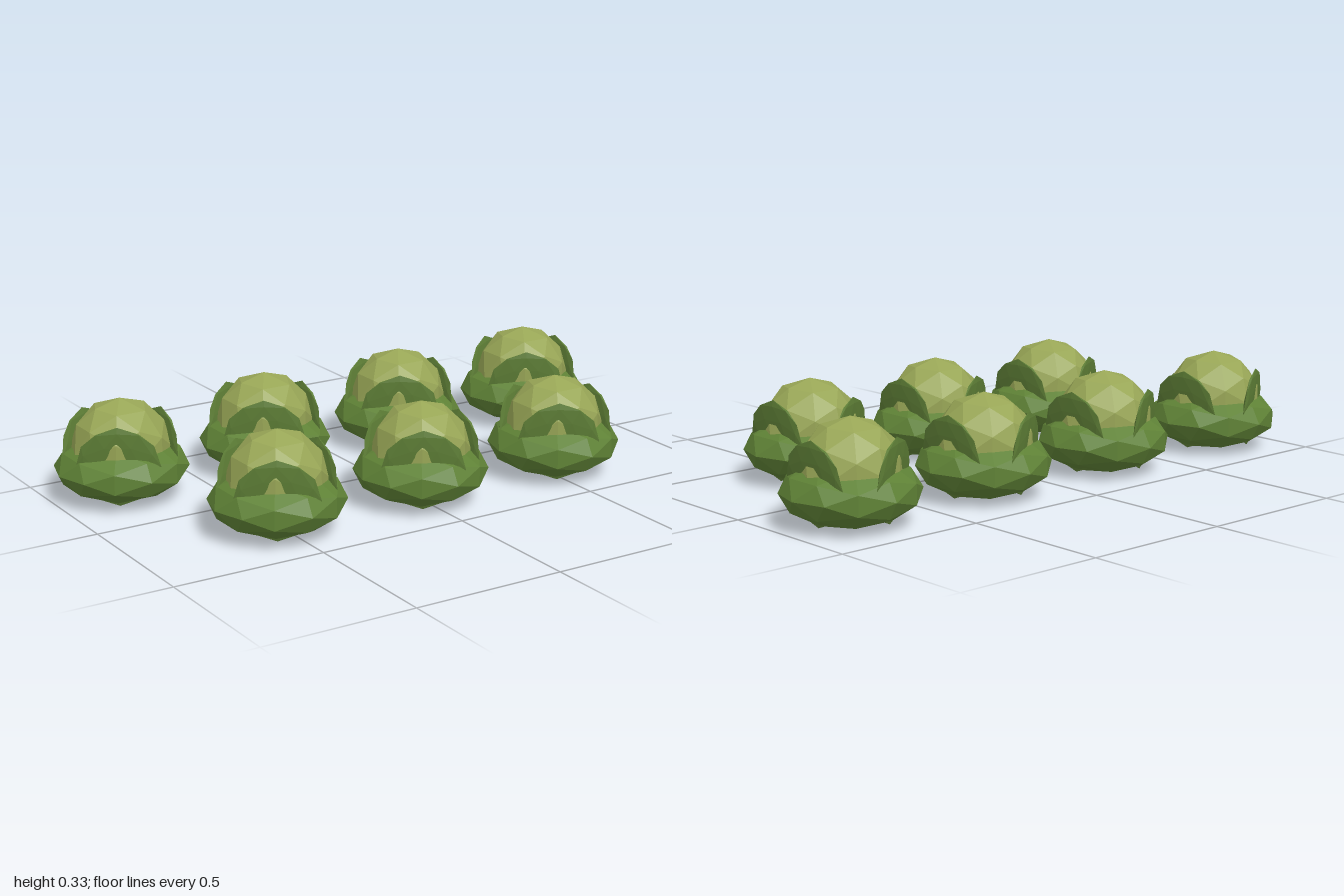
import * as THREE from 'three';

const flat = (name, color) => {
  const m = new THREE.MeshStandardMaterial({ color, flatShading: true });
  m.name = name;
  return m;
};

export function createModel() {
  const headGreen = flat('pale head green', 0x98a656);
  const baseGreen = flat('outer leaf green', 0x5f8236);
  const leafGreen = flat('wrapper leaf green', 0x5c7c35);
  const ball = new THREE.IcosahedronGeometry(1, 1);

  const blob = (name, material, scale, position) => {
    const mesh = new THREE.Mesh(ball, material);
    mesh.name = name;
    mesh.scale.set(...scale);
    mesh.position.set(...position);
    return mesh;
  };

  const makeCabbage = () => {
    const cabbage = new THREE.Group();
    cabbage.name = 'cabbage';

    // Round heart and the squashed skirt of outer leaves it sits in
    cabbage.add(blob('head', headGreen, [0.16, 0.16, 0.16], [0, 0.168, 0]));
    cabbage.add(blob('outerLeaves', baseGreen, [0.217, 0.105, 0.211], [0, 0.105, 0]));

    // Three thin wrapper leaves, leaning outwards, with the head bulging through
    for (let i = 0; i < 3; i++) {
      const turn = new THREE.Group();
      turn.name = 'wrapperLeaf';
      turn.rotation.y = (i * Math.PI * 2) / 3;
      const leaf = blob('leafDisc', leafGreen, [0.013, 0.133, 0.133], [0.133, 0.143, 0]);
      leaf.rotation.z = -0.09;
      turn.add(leaf);
      cabbage.add(turn);
    }
    return cabbage;
  };

  // Staggered rows: four behind, three in front
  const model = new THREE.Group();
  model.name = 'cabbagePatch';
  for (const [count, z] of [[4, -0.267], [3, 0.267]]) {
    for (let i = 0; i < count; i++) {
      const cabbage = makeCabbage();
      cabbage.position.set((i - (count - 1) / 2) * 0.522, 0, z);
      model.add(cabbage);
    }
  }
  return model;
}
